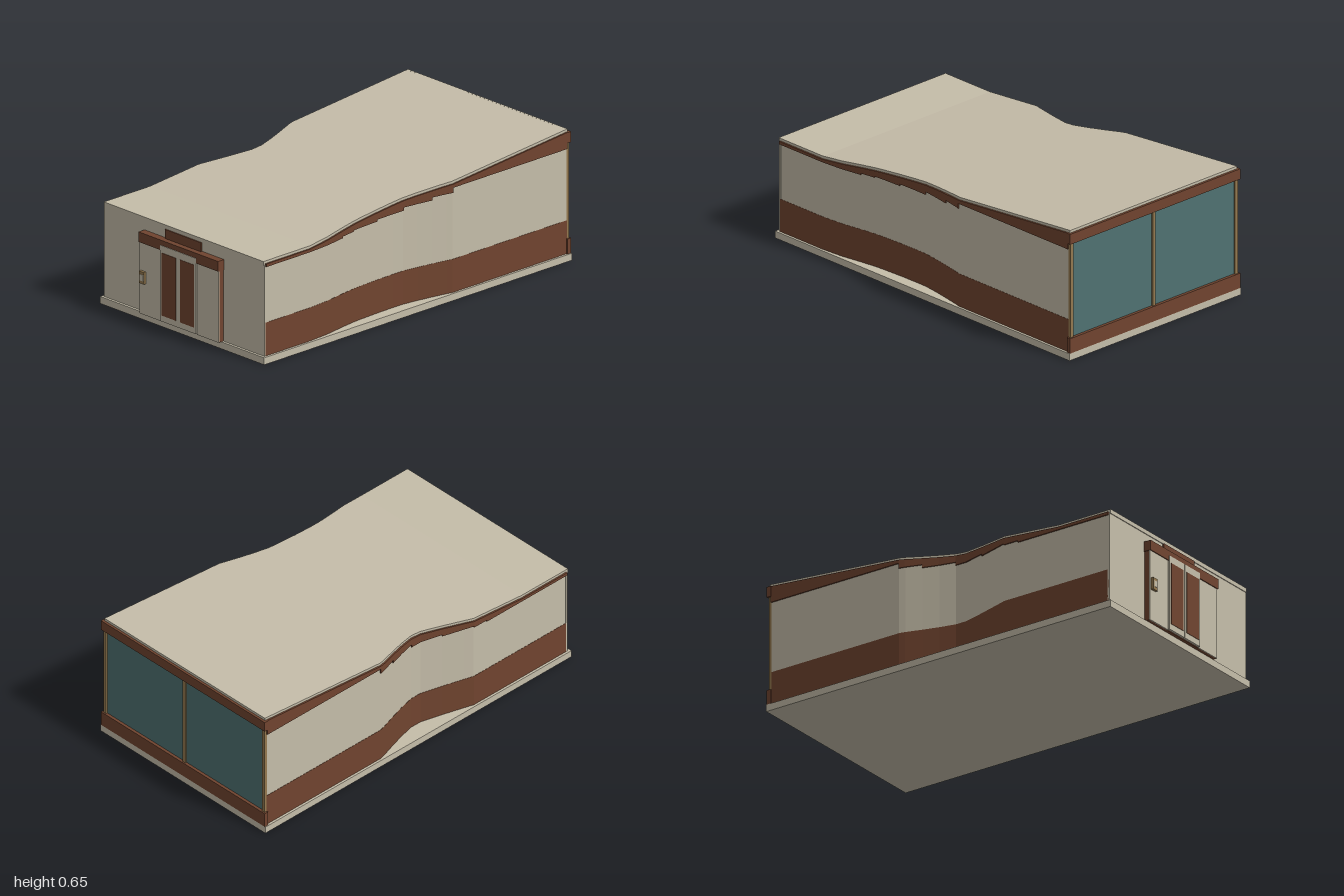
import * as THREE from 'three';

const mat = (name, color) => {
  const m = new THREE.MeshStandardMaterial({ color });
  m.name = name;
  return m;
};

// Floor plan stations from front to back: [z, left x, right x]
const plan = [
  [0.945, 0.535, -0.535], [0.66, 0.535, -0.535], [0.54, 0.526, -0.535], [0.43, 0.508, -0.535],
  [0.35, 0.497, -0.535], [0.3, 0.493, -0.52], [0.19, 0.488, -0.488], [0.08, 0.486, -0.459],
  [0.02, 0.487, -0.459], [-0.06, 0.498, -0.478], [-0.14, 0.512, -0.502], [-0.22, 0.528, -0.528],
  [-0.25, 0.535, -0.535], [-0.98, 0.535, -0.535],
];

// Top of the roof at a given z: flat at the front, then rising to the back
const roofY = (z) => 0.505 + Math.max(0, 0.66 - z) * 0.0884;

// Height of the stepped joint between wall and trim, for a bay starting at z
function stepY(z) {
  const steps = [[0.55, 0.477], [0.44, 0.485], [0.36, 0.491], [0.2, 0.5], [0.03, 0.515], [-0.13, 0.53], [-0.24, 0.542]];
  let y = 0.477;
  for (const [start, next] of steps) if (z <= start) y = next;
  return z <= -0.25 ? 0.555 : y;
}

// Solid joining rectangular cross-sections; each one is [z, left, right, bottom, top]
function loft(sections) {
  const pos = [];
  const corners = ([z, l, r, b, t]) => [[r, b, z], [l, b, z], [l, t, z], [r, t, z]];
  const quad = (a, b, c, d) => pos.push(...a, ...b, ...c, ...a, ...c, ...d);
  const rings = sections.map(corners);
  quad(...rings[0]);
  for (let i = 0; i + 1 < rings.length; i++) {
    for (let k = 0; k < 4; k++) {
      const n = (k + 1) % 4;
      quad(rings[i][n], rings[i][k], rings[i + 1][k], rings[i + 1][n]);
    }
  }
  quad(...[...rings[rings.length - 1]].reverse());
  const g = new THREE.BufferGeometry();
  g.setAttribute('position', new THREE.Float32BufferAttribute(pos, 3));
  g.computeVertexNormals();
  return g;
}

// Loft along the floor plan; grow widens it, bays repeat stations to make steps
function planLoft(grow, bottom, top) {
  const sections = [];
  for (let i = 0; i + 1 < plan.length; i++) {
    for (const [z, l, r] of [plan[i], plan[i + 1]]) {
      sections.push([z, l + grow, r - grow, bottom(z, plan[i][0]), top(z, plan[i][0])]);
    }
  }
  return loft(sections);
}

export function createModel() {
  const cream = mat('cream', 0xc5bda9);
  const brown = mat('brown', 0x70442f);
  const teal = mat('teal glass', 0x4f7272);
  const tan = mat('tan', 0x94794f);
  const model = new THREE.Group();
  model.name = 'building';

  const add = (name, geometry, material) => {
    const mesh = new THREE.Mesh(geometry, material);
    mesh.name = name;
    model.add(mesh);
    return mesh;
  };
  // Box given by its extents on each axis
  const box = (name, material, x0, x1, y0, y1, z0, z1) => {
    const mesh = add(name, new THREE.BoxGeometry(x1 - x0, y1 - y0, z1 - z0), material);
    mesh.position.set((x0 + x1) / 2, (y0 + y1) / 2, (z0 + z1) / 2);
  };

  // Base slab
  box('baseSlab', cream, -0.55, 0.55, 0, 0.035, -1, 0.965);

  // Body in bands: dark plinth, pale wall, dark stepped trim, roof
  add('wallPlinth', planLoft(0.003, () => 0.035, () => 0.2), brown);
  add('wall', planLoft(0.002, () => 0.2, (z, start) => stepY(start)), cream);
  add('roofTrim', planLoft(0.008, (z, start) => stepY(start), (z) => roofY(z) - 0.013), brown);
  add('roof', planLoft(0, (z) => roofY(z) - 0.013, roofY), cream);

  // Front wall and roof fascia
  box('frontWall', cream, -0.538, 0.538, 0.035, 0.484, 0.94, 0.952);
  box('roofFascia', cream, -0.535, 0.535, 0.484, 0.505, 0.94, 0.956);

  // Entrance: dark core, side panels, lintel and upper block
  box('entranceCore', brown, -0.264, 0.264, 0.036, 0.39, 0.95, 0.98);
  box('lintel', brown, -0.267, 0.267, 0.39, 0.44, 0.95, 0.99);
  box('upperBlock', brown, -0.12, 0.12, 0.44, 0.485, 0.95, 0.961);
  for (const s of [-1, 1]) {
    const span = (a, b) => (s > 0 ? [a, b] : [-b, -a]);
    box('entrancePanel', cream, ...span(0.121, 0.265), 0.036, 0.39, 0.979, 0.985);
    box('door', cream, ...span(0.001, 0.12), 0.04, 0.415, 0.979, 0.992);
    box('doorPanel', brown, ...span(0.014, 0.108), 0.07, 0.38, 0.99, 0.994);
  }

  // Keypad beside the doors
  box('keypad', tan, -0.256, -0.223, 0.192, 0.252, 0.984, 0.998);
  box('keypadScreen', cream, -0.249, -0.225, 0.207, 0.238, 0.996, 1);

  // Glazed back with dark rails and tan posts
  box('backGlass', teal, -0.535, 0.535, 0.11, 0.587, -0.985, -0.978);
  box('backBottomRail', brown, -0.546, 0.546, 0.035, 0.11, -1, -0.978);
  box('backTopRail', brown, -0.546, 0.546, 0.585, 0.637, -1, -0.978);
  box('backRoofEdge', cream, -0.535, 0.535, 0.637, 0.65, -0.988, -0.978);
  for (const x of [-0.528, 0, 0.528]) {
    box('backPost', tan, x - 0.009, x + 0.009, 0.11, 0.585, -0.993, -0.976);
  }
  return model;
}
